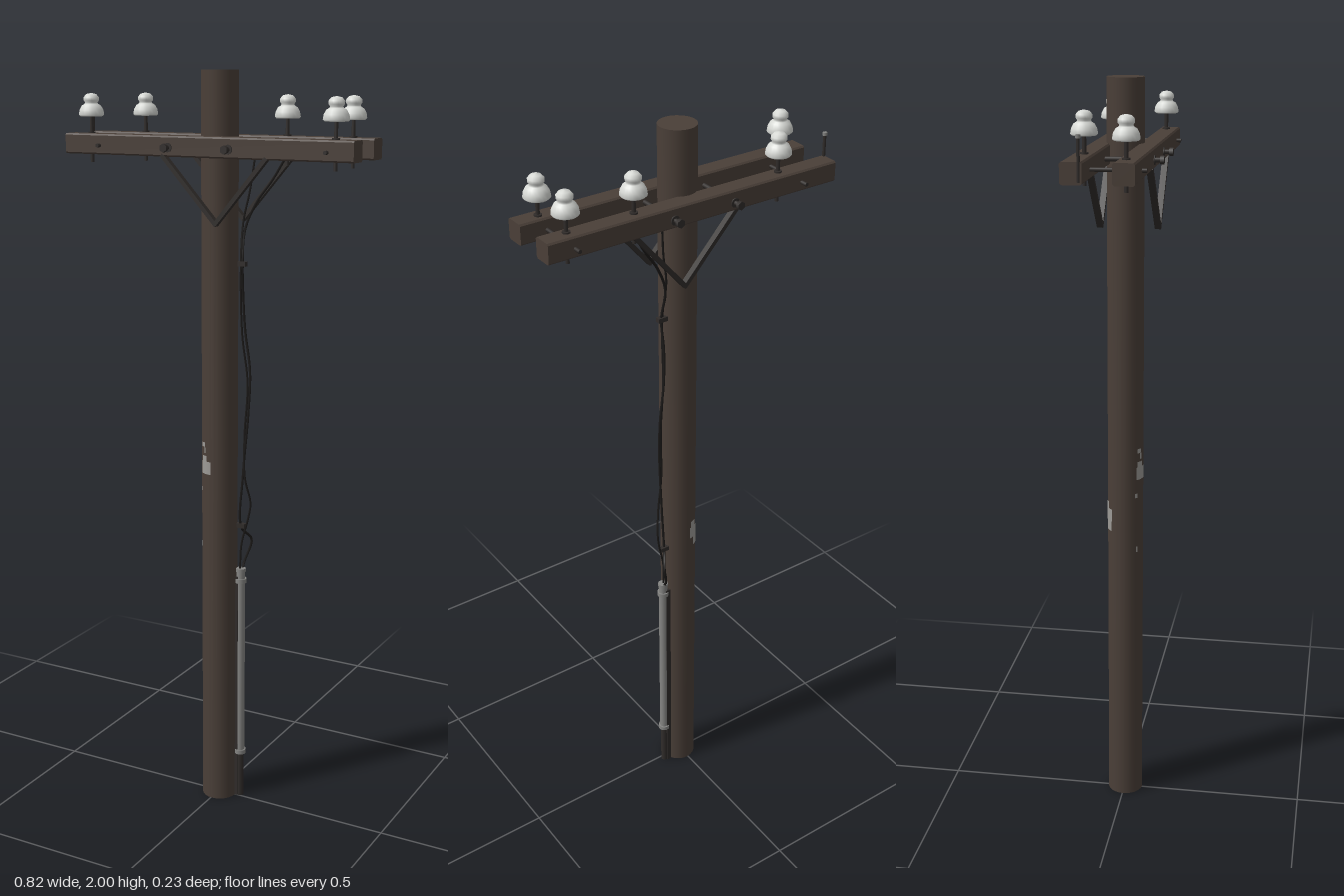
import * as THREE from 'three';

const mat = (name, color, side = THREE.FrontSide) => {
  const m = new THREE.MeshStandardMaterial({ color, side });
  m.name = name;
  return m;
};

export function createModel() {
  const root = new THREE.Group();
  root.name = 'utilityPole';
  const wood = mat('weathered wood', 0x4a3f38);
  const iron = mat('dark iron', 0x302c2a);
  const steel = mat('galvanised steel', 0x858583);
  const porcelain = mat('porcelain', 0xd6d8d4);
  const rubber = mat('black rubber', 0x1c1a19);
  const paper = mat('old paper', 0x9c9a96, THREE.DoubleSide);

  const add = (name, geo, material, x = 0, y = 0, z = 0, parent = root) => {
    const m = new THREE.Mesh(geo, material);
    m.name = name;
    m.position.set(x, y, z);
    parent.add(m);
    return m;
  };
  const cyl = (r, h, n = 12) => new THREE.CylinderGeometry(r, r, h, n);

  // Pole
  const PX = 0.003, PZ = 0.002, PR = 0.048;
  add('pole', cyl(PR, 2, 24), wood, PX, 1, PZ);

  // Pair of crossarms with slightly bevelled edges
  const w = 0.026, b = 0.004;
  const section = new THREE.Shape([
    [-w + b, -w], [w - b, -w], [w, -w + b], [w, w - b],
    [w - b, w], [-w + b, w], [-w, w - b], [-w, -w + b],
  ].map(([x, y]) => new THREE.Vector2(x, y)));
  const armGeo = new THREE.ExtrudeGeometry(section, { depth: 0.82, bevelEnabled: false });
  armGeo.translate(0, 0, -0.41).rotateY(Math.PI / 2);
  for (const [name, z] of [['frontCrossarm', 0.063], ['backCrossarm', -0.059]])
    add(name, armGeo, wood, 0, 1.813, z);

  // Through bolts: plain rods near the ends, headed bolts near the pole
  for (const x of [-0.305, 0.34]) {
    add('spacerRod', cyl(0.005, 0.206, 8), iron, x, 1.81, -0.002).rotation.x = Math.PI / 2;
  }
  for (const x of [-0.1, 0.073]) {
    const bolt = new THREE.Group();
    bolt.name = 'throughBolt';
    bolt.position.set(x, 1.81, 0);
    root.add(bolt);
    add('boltShaft', cyl(0.006, 0.225, 8), iron, 0, 0, 0, bolt).rotation.x = Math.PI / 2;
    for (const s of [-1, 1]) {
      add('boltHead', cyl(0.011, 0.01, 6), iron, 0, 0, s * 0.109, bolt).rotation.x = Math.PI / 2;
      add('washer', cyl(0.012, 0.003, 10), iron, 0, 0, s * 0.09, bolt).rotation.x = Math.PI / 2;
    }
  }

  // V braces under each arm
  const bar = (name, x1, y1, x2, y2, z) => {
    const m = add(name, new THREE.BoxGeometry(Math.hypot(x2 - x1, y2 - y1), 0.011, 0.016),
      iron, (x1 + x2) / 2, (y1 + y2) / 2, z);
    m.rotation.z = Math.atan2(y2 - y1, x2 - x1);
  };
  for (const z of [0.081, -0.07]) {
    bar('braceLeft', 0.032, 1.622, 0.177, 1.792, z);
    bar('braceRight', 0.037, 1.622, -0.12, 1.792, z);
  }

  // Bell insulators on pins
  const bell = new THREE.LatheGeometry([
    [0, 0.006], [0.022, 0.004], [0.029, 0], [0.033, 0.004], [0.031, 0.016], [0.025, 0.027],
    [0.018, 0.031], [0.016, 0.035], [0.02, 0.04], [0.02, 0.048], [0.013, 0.056], [0, 0.059],
  ].map(([x, y]) => new THREE.Vector2(x, y)), 20);
  for (const [x, z] of [[-0.252, -0.056], [0.165, -0.056], [0.345, -0.056], [-0.347, 0.059], [0.35, 0.059]]) {
    const g = new THREE.Group();
    g.name = 'insulator';
    g.position.set(x, 0, z);
    root.add(g);
    add('insulatorPin', cyl(0.005, 0.135, 8), iron, 0, 1.832, 0, g);
    add('pinCollar', cyl(0.01, 0.004, 10), iron, 0, 1.841, 0, g);
    add('insulatorBell', bell, porcelain, 0, 1.882, 0, g);
  }

  // Small spike on the arm end
  add('endSpike', cyl(0.004, 0.105, 8), iron, -0.408, 1.846, -0.041);
  add('spikeTip', cyl(0.006, 0.008, 8), steel, -0.408, 1.896, -0.041);

  // Conduit with bands, and the ground pipe below it
  const CX = 0.062, CZ = -0.01;
  add('conduit', cyl(0.012, 0.55, 14), steel, CX, 0.405, CZ);
  add('groundPipe', cyl(0.01, 0.14, 10), iron, CX, 0.07, CZ);
  add('conduitBacking', new THREE.BoxGeometry(0.014, 0.66, 0.024), iron, 0.052, 0.33, CZ);
  for (const y of [0.136, 0.648]) add('conduitBand', cyl(0.016, 0.012, 14), steel, CX, y, CZ);
  add('conduitCap', cyl(0.0135, 0.01, 14), steel, CX, 0.678, CZ);

  // Loose cables running up the pole
  const cable = (name, r, pts) => add(name, new THREE.TubeGeometry(
    new THREE.CatmullRomCurve3(pts.map(p => new THREE.Vector3(...p))), 90, r, 6), rubber);
  cable('mainCable', 0.0035, [
    [0.062, 0.67, -0.012], [0.064, 0.7, -0.028], [0.078, 0.76, -0.042], [0.06, 0.8, -0.014],
    [0.066, 0.95, -0.012], [0.077, 1.12, -0.02], [0.078, 1.23, -0.026], [0.064, 1.34, -0.024],
    [0.06, 1.43, -0.02], [0.062, 1.515, -0.012], [0.06, 1.6, -0.028], [0.088, 1.67, -0.036],
    [0.13, 1.73, -0.045], [0.165, 1.79, -0.052],
  ]);
  cable('looseCable', 0.003, [
    [0.06, 0.67, -0.008], [0.062, 0.75, -0.012], [0.08, 0.83, -0.018], [0.085, 0.87, -0.02],
    [0.074, 0.94, -0.008], [0.068, 1.05, -0.015], [0.073, 1.2, -0.022], [0.06, 1.33, -0.015],
    [0.058, 1.515, -0.01], [0.056, 1.62, -0.026], [0.07, 1.7, -0.035], [0.08, 1.79, -0.045],
  ]);
  for (const y of [0.805, 1.515]) {
    add('cableBracket', new THREE.BoxGeometry(0.026, 0.012, 0.014), iron, 0.06, y, -0.012);
  }

  // Torn paper scraps wrapped on the pole: angle from the front, width angle, height, base size
  const scrap = (angle, arc, y, h) => add('paperScrap', new THREE.CylinderGeometry(
    PR + 0.0012, PR + 0.0012, h, 6, 1, true, angle - arc / 2, arc), paper, PX, y, PZ);
  for (const s of [
    [-0.4, 0.75, 0.972, 0.035], [-0.5, 0.4, 0.995, 0.02], [-0.58, 0.3, 1.035, 0.012],
    [-0.45, 0.12, 1.02, 0.016], [-0.8, 0.15, 0.91, 0.012], [-0.75, 0.12, 0.755, 0.016],
    [Math.PI + 0.5, 0.75, 0.85, 0.035], [Math.PI + 0.62, 0.45, 0.82, 0.03],
    [Math.PI + 0.38, 0.35, 0.877, 0.02],
  ]) scrap(...s);

  return root;
}
